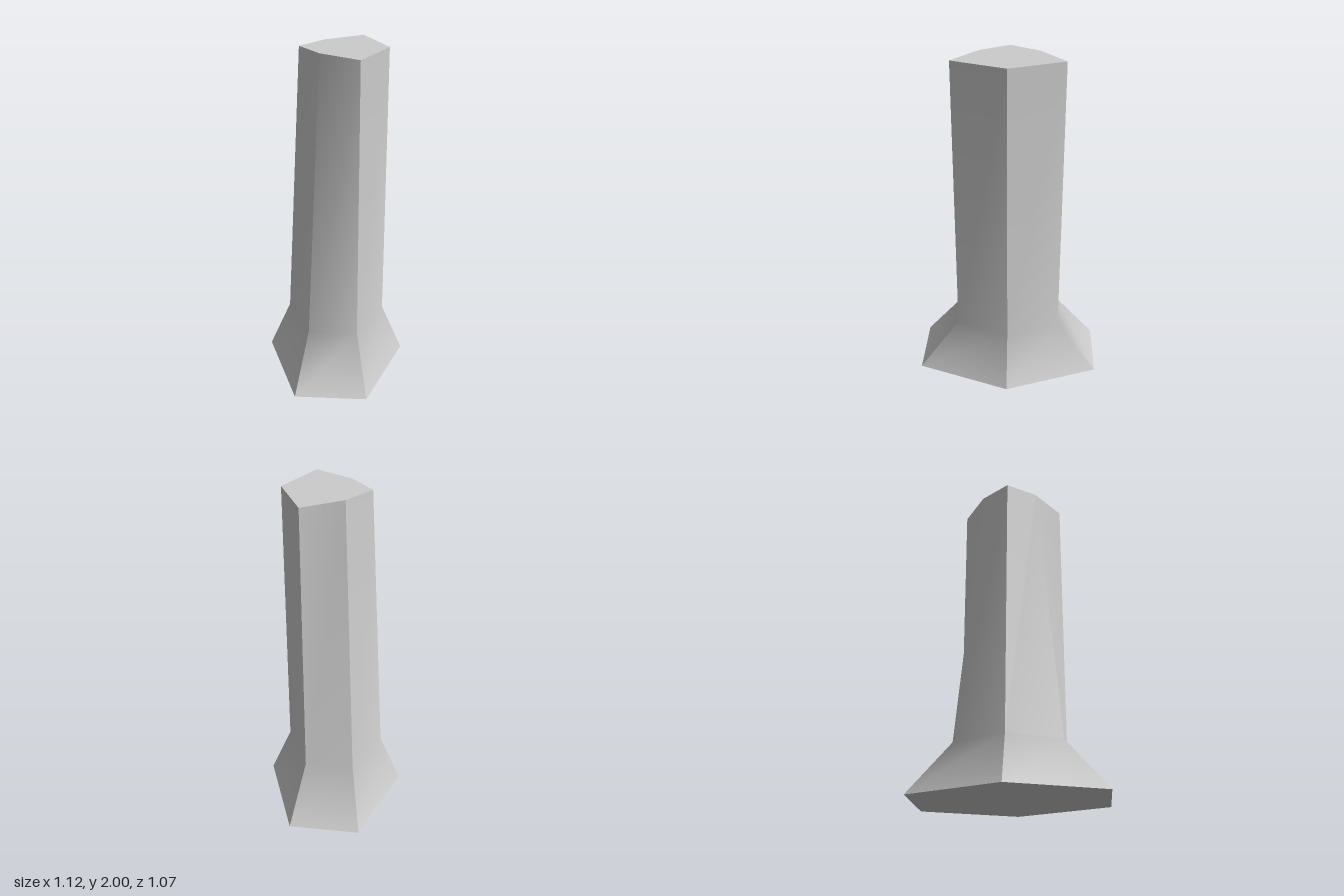
import * as THREE from 'three';

// Cross-sections [x, z], clockwise seen from above
const rings = [
  { y: 0, pts: [[0.275, -0.533], [0.56, -0.21], [0.285, 0.322], [-0.275, 0.533], [-0.562, 0.21], [-0.287, -0.324]] },
  { y: 0.305, pts: [[0.135, -0.32], [0.333, -0.1], [0.2, 0.225], [-0.14, 0.322], [-0.333, 0.096], [-0.2, -0.225]] },
  { y: 2, pts: [[0.08, -0.175], [0.338, -0.102], [0.2, 0.225], [-0.14, 0.322], [-0.183, 0.056], [-0.138, -0.156]] },
];

const material = new THREE.MeshStandardMaterial({ color: 0xcccccc });

function makeMesh(name, points, index) {
  const geometry = new THREE.BufferGeometry();
  geometry.setAttribute('position', new THREE.Float32BufferAttribute(points.flat(), 3));
  geometry.setIndex(index);
  geometry.computeVertexNormals();
  const mesh = new THREE.Mesh(geometry, material);
  mesh.name = name;
  return mesh;
}

const corner = (ring, i) => [ring.pts[i % 6][0], ring.y, ring.pts[i % 6][1]];

export function createModel() {
  const group = new THREE.Group();
  group.name = 'flaredPillar';

  // Six sides: smooth from flare to shaft, sharp between neighbours
  for (let i = 0; i < 6; i++) {
    const points = [];
    const index = [];
    rings.forEach((ring, k) => {
      points.push(corner(ring, i), corner(ring, i + 1));
      if (k === 0) return;
      const low = 2 * (k - 1), high = 2 * k;
      index.push(low + 1, low, high, low + 1, high, high + 1);
    });
    group.add(makeMesh(`side${i + 1}`, points, index));
  }

  // Flat end caps
  const cap = (name, ring, up) => {
    const points = ring.pts.map((_, i) => corner(ring, i));
    const index = [];
    for (let i = 1; i < 5; i++) index.push(0, ...(up ? [i + 1, i] : [i, i + 1]));
    group.add(makeMesh(name, points, index));
  };
  cap('base', rings[0], false);
  cap('top', rings[2], true);

  return group;
}
